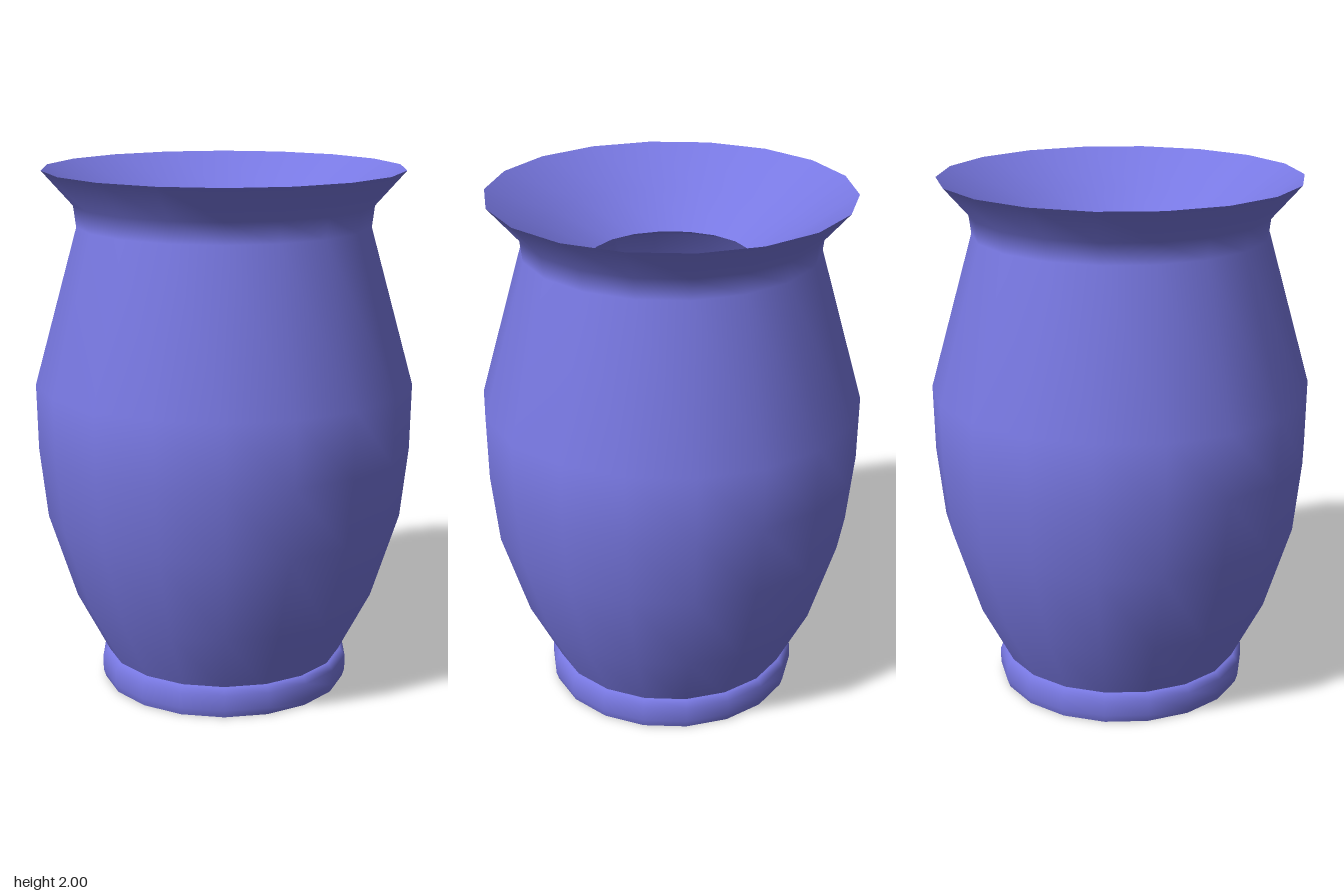
import * as THREE from 'three';

const SIDES = 18;

export function createModel() {
  const vase = new THREE.Group();
  vase.name = 'vase';
  const glaze = new THREE.MeshStandardMaterial({ color: 0x7878e2 });
  glaze.name = 'violet glaze';

  // Turns a profile of [radius, height] points around the y axis.
  const turn = (name, profile) => {
    const points = profile.map(([r, y]) => new THREE.Vector2(r, y));
    const mesh = new THREE.Mesh(new THREE.LatheGeometry(points, SIDES, Math.PI / SIDES), glaze);
    mesh.name = name;
    vase.add(mesh);
  };

  // Outer wall, swelling at the belly and flaring out at the lip
  turn('body', [
    [0.45, 0.1], [0.58, 0.35], [0.685, 0.68], [0.715, 0.95], [0.72, 1.2],
    [0.555, 1.79], [0.565, 1.87], [0.68, 2],
  ]);

  // Funnel sloping from the lip down to the narrow throat
  turn('funnel', [[0.68, 2], [0.485, 1.87], [0.305, 1.75]]);

  // Hollow below the throat
  turn('innerWall', [
    [0.305, 1.75], [0.48, 1.68], [0.65, 1.2], [0.63, 0.7], [0.52, 0.36], [0.42, 0.12],
  ]);
  turn('innerFloor', [[0.42, 0.12], [0, 0.12]]);

  // Foot ring with a slightly rounded upper edge, and its flat underside
  turn('foot', [[0.475, 0], [0.485, 0.03], [0.485, 0.09], [0.465, 0.115], [0.43, 0.115]]);
  turn('underside', [[0, 0], [0.475, 0]]);

  return vase;
}
